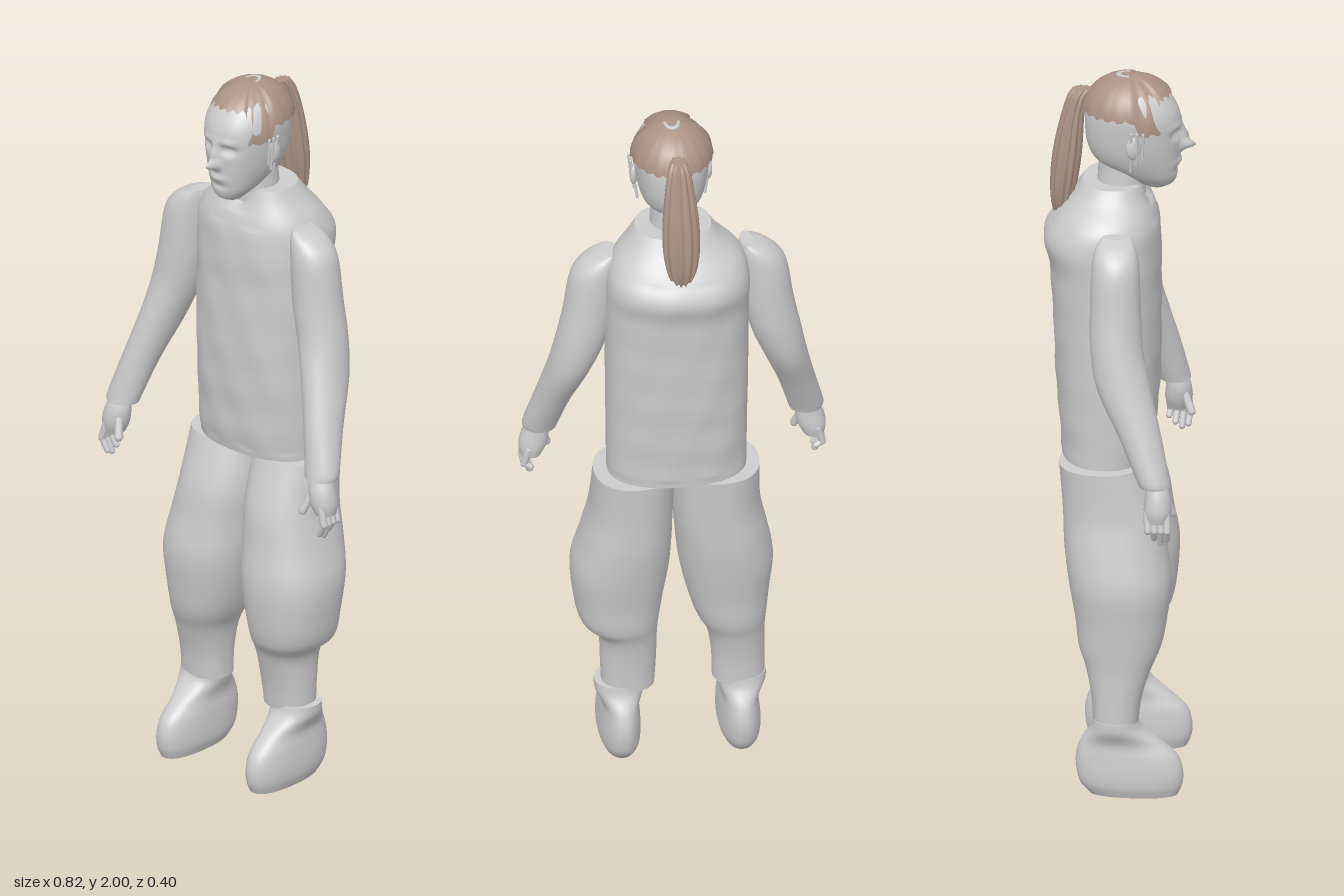
import * as THREE from 'three';

const cloth = new THREE.MeshStandardMaterial({ color: 0xcccccc, side: THREE.DoubleSide });
cloth.name = 'light grey';
const brown = new THREE.MeshStandardMaterial({ color: 0xab9384, side: THREE.DoubleSide });
brown.name = 'hair brown';

// Catmull-Rom step between rows of numbers
function blend(rows, i, t) {
  const at = (k) => rows[Math.min(rows.length - 1, Math.max(0, k))];
  const [p, q, r, s] = [at(i - 1), at(i), at(i + 1), at(i + 2)];
  return q.map((_, k) => 0.5 * (2 * q[k] + (r[k] - p[k]) * t
    + (2 * p[k] - 5 * q[k] + 4 * r[k] - s[k]) * t * t
    + (3 * q[k] - p[k] - 3 * r[k] + s[k]) * t * t * t));
}

// Skin over level sections, top down: [y, xMin, xMax, zMin, zMax]
function loft(rows, { n = 2, seg = 40, sub = 5, shape = null } = {}) {
  const pos = [], idx = [], rings = [];
  const steps = (rows.length - 1) * sub;
  for (let i = 0; i <= steps; i++) {
    const k = Math.min(rows.length - 2, Math.floor(i / sub));
    const [y, x0, x1, z0, z1] = blend(rows, k, i / sub - k);
    const ring = [];
    for (let j = 0; j < seg; j++) {
      const a = (j / seg) * Math.PI * 2, s = Math.sin(a), c = Math.cos(a);
      const v = new THREE.Vector3(
        (x0 + x1) / 2 + (x1 - x0) / 2 * Math.sign(s) * Math.abs(s) ** (2 / n), y,
        (z0 + z1) / 2 + (z1 - z0) / 2 * Math.sign(c) * Math.abs(c) ** (2 / n));
      if (shape) shape(v, a);
      ring.push(v);
      pos.push(v.x, v.y, v.z);
    }
    rings.push(ring);
  }
  for (let i = 0; i < steps; i++) for (let j = 0; j < seg; j++) {
    const a = i * seg + j, b = i * seg + (j + 1) % seg, c = a + seg, d = b + seg;
    idx.push(a, c, d, a, d, b);
  }
  // Caps with their own vertices keep the rims sharp
  [[rings[0], 0], [rings[steps], 1]].forEach(([ring, flip]) => {
    const base = pos.length / 3;
    const mid = ring.reduce((m, v) => m.add(v), new THREE.Vector3()).divideScalar(seg);
    pos.push(mid.x, mid.y, mid.z);
    ring.forEach((v) => pos.push(v.x, v.y, v.z));
    for (let j = 0; j < seg; j++) {
      const a = base + 1 + j, b = base + 1 + (j + 1) % seg;
      if (flip) idx.push(base, b, a); else idx.push(base, a, b);
    }
  });
  const g = new THREE.BufferGeometry();
  g.setAttribute('position', new THREE.Float32BufferAttribute(pos, 3));
  g.setIndex(idx);
  g.computeVertexNormals();
  return g;
}

// Rounded rod between two points
function rod(a, b, r) {
  const p = new THREE.Vector3(...a), q = new THREE.Vector3(...b), d = q.clone().sub(p);
  const g = new THREE.CapsuleGeometry(r, d.length(), 4, 10);
  g.applyQuaternion(new THREE.Quaternion().setFromUnitVectors(new THREE.Vector3(0, 1, 0), d.normalize()));
  const m = p.add(q).multiplyScalar(0.5);
  return g.translate(m.x, m.y, m.z);
}

// Soft bump weight around a point on the face
const bump = (v, x, y, w, h) => Math.exp(-(((v.x - x) / w) ** 2) - ((v.y - y) / h) ** 2);

// Dome of hair whose hem rises over the forehead and dips at the temples
function hairCap() {
  const g = new THREE.PlaneGeometry(1, 1, 72, 20), p = g.attributes.position;
  for (let i = 0; i < p.count; i++) {
    const a = (p.getX(i) + 0.5) * Math.PI * 2, t = 0.5 - p.getY(i), c = Math.cos(a);
    const off = Math.abs(Math.atan2(Math.sin(a), c));
    const hem = (off < 0.75 ? 1.95 : off < 1.35 ? 1.862 : 1.903) + 0.005 * Math.sin(a * 23);
    const f = Math.min(1, Math.max(0, (hem - 1.89) / 0.11));
    const phi = t * Math.acos(f);
    const y = hem < 1.89 ? 2 - (1 - Math.cos(phi)) * (2 - hem) : 1.89 + 0.11 * Math.cos(phi);
    const r = Math.sin(phi) * (1 + 0.008 * Math.sin(a * 17));
    p.setXYZ(i, 0.015 + 0.111 * r * Math.sin(a), y, 0.025 + (c > 0 ? 0.136 : 0.124) * r * c);
  }
  g.computeVertexNormals();
  return g;
}

export function createModel() {
  const model = new THREE.Group();
  const add = (name, geo, mat = cloth, parent = model) => {
    const m = new THREE.Mesh(geo, mat);
    m.name = name;
    parent.add(m);
    return m;
  };

  // Tunic with sloping shoulders, notched collar and slight creases
  add('tunic', loft([
    [1.70, -0.085, 0.118, -0.095, 0.07], [1.665, -0.11, 0.14, -0.12, 0.08],
    [1.61, -0.165, 0.18, -0.165, 0.1], [1.55, -0.182, 0.198, -0.197, 0.112],
    [1.45, -0.182, 0.2, -0.18, 0.112], [1.2, -0.18, 0.198, -0.168, 0.112],
    [1.0, -0.177, 0.196, -0.155, 0.1], [0.93, -0.176, 0.195, -0.15, 0.09],
  ], {
    n: 2.3, seg: 64, sub: 8, shape: (v, a) => {
      if (v.y > 1.63) v.y -= 0.05 * Math.exp(-((Math.atan2(Math.sin(a), Math.cos(a)) / 0.28) ** 2)) * (v.y - 1.63) / 0.07;
      if (v.y < 1.6 && v.y > 0.95) v.z += 0.0025 * Math.sin(v.y * 37 + v.x * 24) * Math.cos(v.x * 30 - v.y * 15);
    },
  }));

  // Baggy trousers, gathered below the knee
  add('rightTrouserLeg', loft([
    [0.93, -0.21, 0.012, -0.15, 0.075], [0.8, -0.215, 0.018, -0.14, 0.12],
    [0.7, -0.235, 0.01, -0.135, 0.135], [0.6, -0.252, 0.0, -0.122, 0.15],
    [0.5, -0.243, -0.02, -0.105, 0.14], [0.42, -0.235, -0.045, -0.095, 0.125],
    [0.36, -0.23, -0.075, -0.075, 0.1], [0.28, -0.23, -0.088, -0.06, 0.075],
    [0.205, -0.23, -0.09, -0.055, 0.065],
  ], { n: 2.3 }));
  add('leftTrouserLeg', loft([
    [0.93, 0.012, 0.232, -0.15, 0.075], [0.8, 0.018, 0.24, -0.14, 0.12],
    [0.7, 0.02, 0.262, -0.135, 0.135], [0.6, 0.025, 0.286, -0.122, 0.15],
    [0.5, 0.04, 0.28, -0.105, 0.145], [0.42, 0.052, 0.262, -0.095, 0.13],
    [0.37, 0.057, 0.215, -0.075, 0.1], [0.28, 0.06, 0.208, -0.06, 0.075],
    [0.205, 0.065, 0.206, -0.055, 0.065],
  ], { n: 2.3 }));

  // Soft boots with rounded toes
  const boot = [
    [0.22, -0.07, 0.068, -0.055, 0.062], [0.19, -0.068, 0.062, -0.062, 0.075],
    [0.15, -0.05, 0.05, -0.088, 0.125], [0.11, -0.053, 0.053, -0.1, 0.168],
    [0.07, -0.057, 0.055, -0.1, 0.183], [0.03, -0.056, 0.054, -0.09, 0.182],
    [0, -0.046, 0.044, -0.065, 0.17],
  ];
  add('rightBoot', loft(boot, { n: 2.3 })).position.x = -0.163;
  const leftBoot = add('leftBoot', loft(boot.map(([y, a, b, c, d]) => [y, -b, -a, c, d]), { n: 2.3 }));
  leftBoot.position.x = 0.155;

  // Arms, bent forward at the elbow, each with a hand
  for (const s of [1, -1]) {
    const side = s > 0 ? 'left' : 'right';
    const arm = new THREE.Group();
    arm.name = side + 'Arm';
    model.add(arm);
    const mx = (p) => [p[0] * s, p[1], p[2]];
    const flip = (rows) => rows.map(([y, a, b, c, d]) => (s > 0 ? [y, a, b, c, d] : [y, -b, -a, c, d]));
    add(side + 'Sleeve', loft(flip([
      [1.612, 0.165, 0.2, -0.03, 0.045], [1.59, 0.16, 0.25, -0.045, 0.06],
      [1.54, 0.162, 0.288, -0.055, 0.072], [1.42, 0.172, 0.308, -0.058, 0.078],
      [1.32, 0.195, 0.328, -0.055, 0.085], [1.22, 0.232, 0.348, -0.035, 0.108],
      [1.1, 0.275, 0.375, 0.025, 0.138], [1.0, 0.303, 0.4, 0.07, 0.16],
      [0.975, 0.31, 0.4, 0.08, 0.165],
    ])), cloth, arm);
    add(side + 'Palm', loft(flip([
      [0.99, 0.335, 0.385, 0.1, 0.15], [0.95, 0.328, 0.402, 0.098, 0.165],
      [0.91, 0.335, 0.41, 0.095, 0.168], [0.88, 0.35, 0.405, 0.1, 0.16],
    ], ), { seg: 20 }), cloth, arm);
    for (let i = 0; i < 4; i++) {
      const z = 0.105 + i * 0.017, drop = [0.03, 0.012, 0, 0.008][i];
      add(side + 'Finger' + (i + 1), rod(mx([0.385, 0.905, z]), mx([0.398, 0.86, z + 0.003]), 0.01), cloth, arm);
      add(side + 'Fingertip' + (i + 1), rod(mx([0.398, 0.86, z + 0.003]), mx([0.38, 0.82 + drop, z]), 0.0085), cloth, arm);
    }
    add(side + 'Thumb', rod(mx([0.345, 0.93, 0.15]), mx([0.33, 0.885, 0.168]), 0.011), cloth, arm);
  }

  // Neck
  add('neck', loft([
    [1.82, -0.045, 0.075, -0.065, 0.07], [1.75, -0.042, 0.072, -0.055, 0.07],
    [1.66, -0.05, 0.08, -0.06, 0.072],
  ]));

  // Head with brow, eye sockets, nose, lips and chin
  const cx = 0.015;
  add('head', loft([
    [1.985, -0.02, 0.05, -0.01, 0.06], [1.97, -0.05, 0.08, -0.05, 0.1],
    [1.945, -0.072, 0.102, -0.075, 0.13], [1.9, -0.085, 0.115, -0.088, 0.158],
    [1.85, -0.082, 0.112, -0.09, 0.165], [1.8, -0.074, 0.104, -0.083, 0.163],
    [1.76, -0.062, 0.092, -0.06, 0.16], [1.72, -0.042, 0.072, 0.0, 0.156],
    [1.695, -0.022, 0.052, 0.045, 0.146], [1.683, -0.01, 0.04, 0.075, 0.125],
  ], {
    n: 2.2, seg: 96, sub: 8, shape: (v) => {
      if (v.z < 0.08) return;
      v.z += 0.036 * bump(v, cx, 1.8, 0.013, 0.014) + 0.02 * bump(v, cx, 1.83, 0.01, 0.026);
      v.z += 0.008 * bump(v, cx, 1.757, 0.026, 0.009) - 0.005 * bump(v, cx, 1.733, 0.03, 0.008);
      for (const s of [1, -1]) {
        v.z -= 0.016 * bump(v, cx + s * 0.035, 1.843, 0.02, 0.012);
        v.z += 0.005 * bump(v, cx + s * 0.036, 1.865, 0.026, 0.008);
        v.z += 0.005 * bump(v, cx + s * 0.034, 1.842, 0.011, 0.005);
      }
    },
  }));

  // Ears and loose locks beside them
  for (const s of [1, -1]) {
    const side = s > 0 ? 'left' : 'right';
    const ear = add(side + 'Ear', new THREE.SphereGeometry(1, 16, 12));
    ear.scale.set(0.011, 0.032, 0.02);
    ear.position.set(cx + s * 0.098, 1.825, 0.045);
    ear.rotation.y = s * -0.3;
    for (let i = 0; i < 3; i++) {
      const z = 0.04 + i * 0.016;
      add(side + 'Lock' + (i + 1), rod([cx + s * 0.108, 1.87, z], [cx + s * (0.09 + i * 0.006), 1.755 + i * 0.02, z - 0.003], 0.004));
    }
  }

  // Hair, bare crescent on the crown, and ponytail
  add('hair', hairCap(), brown);
  const crescent = add('crownPatch', new THREE.TorusGeometry(0.018, 0.005, 8, 20, Math.PI).rotateX(-Math.PI / 2));
  crescent.scale.set(1, 0.6, 1.6);
  crescent.position.set(cx, 1.997, 0.028);
  add('ponytail', loft([
    [1.955, -0.005, 0.03, -0.12, -0.07], [1.93, -0.015, 0.04, -0.135, -0.085],
    [1.87, -0.025, 0.05, -0.153, -0.095], [1.78, -0.035, 0.058, -0.172, -0.1],
    [1.7, -0.036, 0.058, -0.18, -0.11], [1.63, -0.025, 0.046, -0.178, -0.125],
    [1.585, 0.002, 0.022, -0.165, -0.145],
  ], {
    seg: 60, shape: (v, a) => {
      v.x += 0.003 * Math.sin(a * 11) * Math.sin(a);
      v.z += 0.003 * Math.sin(a * 11) * Math.cos(a);
    },
  }), brown);
  return model;
}
